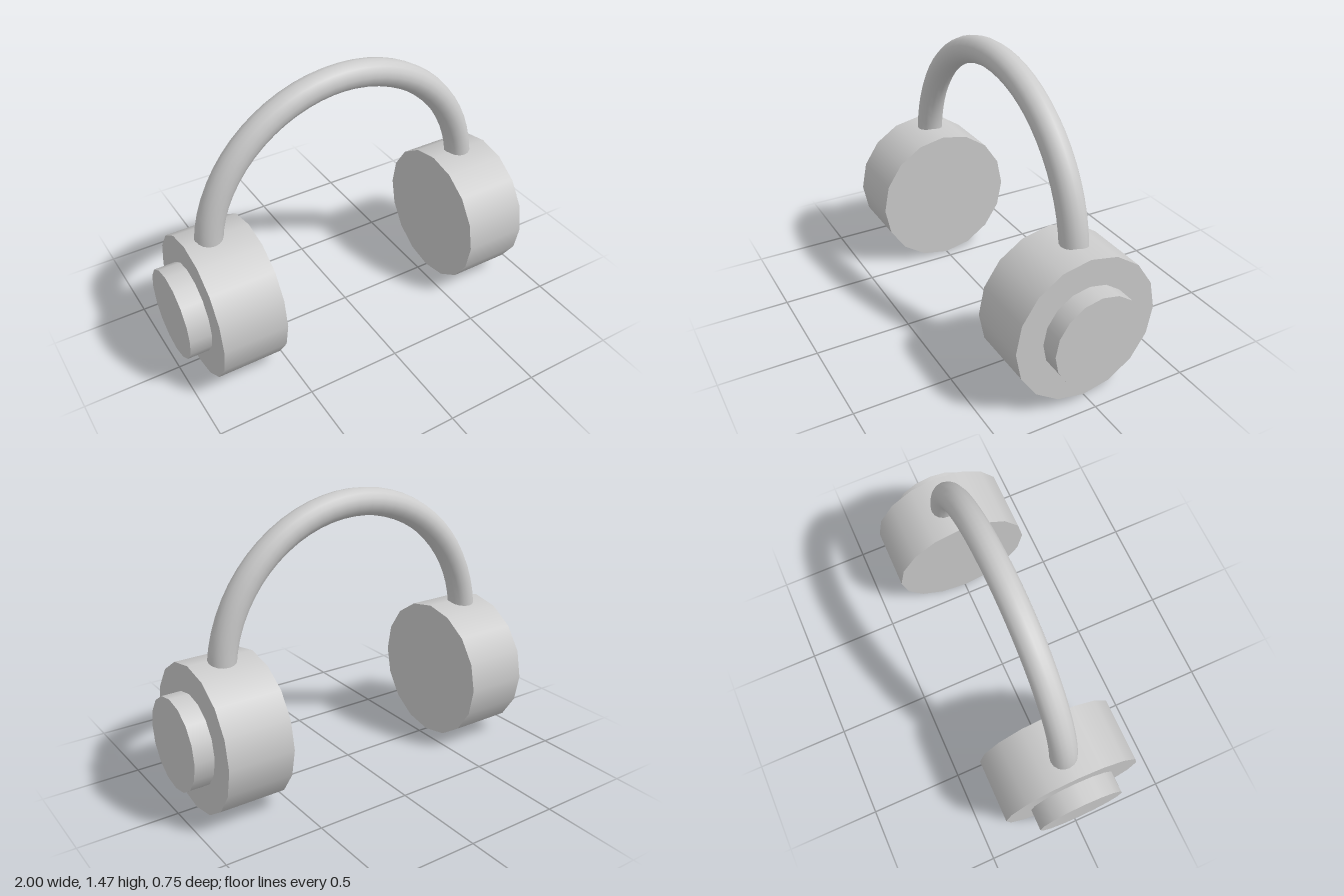
import * as THREE from 'three';

const SIDES = 16;
const AXIS_Y = 0.375; // height of the ear cup axis

export function createModel() {
  const model = new THREE.Group();
  model.name = 'headphones';
  const material = new THREE.MeshStandardMaterial({ color: 0xcccccc });

  // Cylinder lying along x between two x positions
  function disc(name, x0, x1, radius) {
    const geometry = new THREE.CylinderGeometry(radius, radius, x1 - x0, SIDES);
    geometry.rotateZ(Math.PI / 2);
    const mesh = new THREE.Mesh(geometry, material);
    mesh.name = name;
    mesh.position.set((x0 + x1) / 2, AXIS_Y, 0);
    model.add(mesh);
  }

  // Ear cups with a smaller cap on each outer face
  disc('rightEarCup', -0.888, -0.55, 0.375);
  disc('rightOuterCap', -1, -0.888, 0.234);
  disc('leftEarCup', 0.56, 0.9, 0.375);
  disc('leftOuterCap', 0.9, 1, 0.234);

  // Half-ring headband, its ends sunk into the cups
  const band = new THREE.Mesh(new THREE.TorusGeometry(0.75, 0.07, 16, 32, Math.PI), material);
  band.name = 'headband';
  band.position.set(-0.012, 0.648, -0.017);
  band.rotation.y = 0.005;
  model.add(band);

  return model;
}
